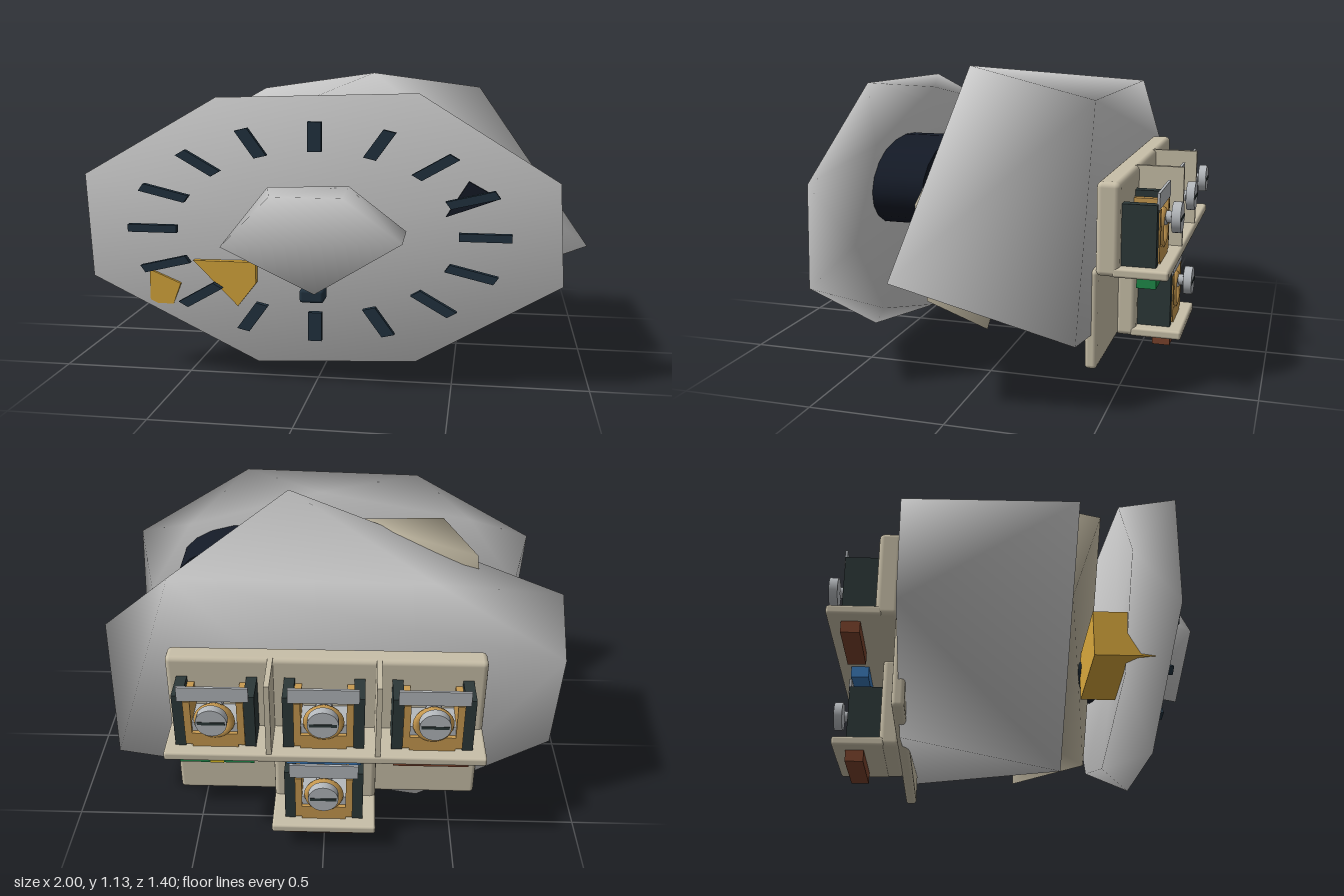
import * as THREE from 'three';
import { mergeVertices } from 'three/addons/utils/BufferGeometryUtils.js';
import { ConvexGeometry } from 'three/addons/geometries/ConvexGeometry.js';
import { RoundedBoxGeometry } from 'three/addons/geometries/RoundedBoxGeometry.js';

const mat = (color) => new THREE.MeshStandardMaterial({ color });
const M = {
  grey: mat(0xcccccc), beige: mat(0xc8bfa8), dark: mat(0x2c3838), black: mat(0x141a26),
  navy: mat(0x223340), gold: mat(0xd9a83c), brass: mat(0xc89a50), steel: mat(0xb4b8bc),
  green: mat(0x1f8a4a), yellow: mat(0xe0c020), blue: mat(0x3a78b8), brown: mat(0x7a432c)
};

function add(parent, name, geometry, material, x = 0, y = 0, z = 0) {
  const mesh = new THREE.Mesh(geometry, material);
  mesh.name = name;
  mesh.position.set(x, y, z);
  parent.add(mesh);
  return mesh;
}

// Box given by its extents on each axis
function box(parent, name, material, [x0, x1], [y0, y1], [z0, z1], radius = 0) {
  const size = [x1 - x0, y1 - y0, z1 - z0];
  const g = radius ? new RoundedBoxGeometry(...size, 2, radius) : new THREE.BoxGeometry(...size);
  return add(parent, name, g, material, (x0 + x1) / 2, (y0 + y1) / 2, (z0 + z1) / 2);
}

// Faceted shell with smooth normals, spanned by outlines lying at given depths
function shell(parent, name, material, layers) {
  const points = layers.flatMap(([z, outline]) => outline.map(([x, y]) => new THREE.Vector3(x, y, z)));
  let g = new ConvexGeometry(points);
  g.deleteAttribute('normal');
  g.deleteAttribute('uv');
  g = mergeVertices(g, 1e-4);
  g.computeVertexNormals();
  return add(parent, name, g, material);
}

// Disc between a front and a back rim (same count, counter-clockwise), each dished to a centre
function dishedDisc(parent, name, material, front, back, [zFront, zFrontMid, zBackMid, zBack], cy) {
  const n = front.length;
  const points = [0, cy, zFrontMid, 0, cy, zBackMid];
  for (const [x, y] of front) points.push(x, y, zFront);
  for (const [x, y] of back) points.push(x, y, zBack);
  const index = [];
  for (let i = 0; i < n; i++) {
    const a = 2 + i, b = 2 + ((i + 1) % n);
    index.push(0, a, b, 1, b + n, a + n, a, a + n, b, b, a + n, b + n);
  }
  const g = new THREE.BufferGeometry();
  g.setAttribute('position', new THREE.Float32BufferAttribute(points, 3));
  g.setIndex(index);
  g.computeVertexNormals();
  return add(parent, name, g, material);
}

// Flat outline extruded from z0 to z1
function slab(parent, name, material, outline, z0, z1) {
  const shape = new THREE.Shape(outline.map(([x, y]) => new THREE.Vector2(x, y)));
  add(parent, name, new THREE.ExtrudeGeometry(shape, { depth: z1 - z0, bevelEnabled: false }), material, 0, 0, z0);
}

// Cylinder lying along z
function rod(parent, name, material, r, z0, z1, x, y, sides = 24) {
  const g = new THREE.CylinderGeometry(r, r, z1 - z0, sides).rotateX(Math.PI / 2);
  return add(parent, name, g, material, x, y, (z0 + z1) / 2);
}

// One screw terminal, standing on a ledge whose top is at y = 0
function terminal(x, y, labelColor, striped) {
  const t = new THREE.Group();
  t.name = 'terminal';
  t.position.set(x, y, 0);
  for (const s of [-1, 1]) {
    const cheek = box(t, 'cheek', M.dark, [-0.02, 0.02], [0, 0.225], [-0.63, -0.5]);
    cheek.position.x = s * 0.13;
    const clip = box(t, 'clip', M.brass, [-0.013, 0.013], [0.01, 0.2], [-0.635, -0.5]);
    clip.position.x = s * 0.097;
  }
  box(t, 'clampBlock', M.steel, [-0.085, 0.085], [0, 0.1], [-0.62, -0.5]);
  box(t, 'facePlate', M.brass, [-0.085, 0.085], [0, 0.06], [-0.635, -0.62]);
  box(t, 'topTab', M.steel, [-0.13, 0.13], [0.205, 0.265], [-0.635, -0.625]);

  // Screw: threaded shank, washer, slotted head
  const sy = 0.155;
  rod(t, 'screwShank', M.steel, 0.022, -0.66, -0.53, 0, sy, 16);
  for (let i = 0; i < 5; i++) {
    const thread = add(t, 'screwThread', new THREE.TorusGeometry(0.025, 0.007, 6, 16), M.steel, 0, sy, -0.555 - i * 0.02);
    thread.rotation.x = 0.15;
  }
  add(t, 'washer', new THREE.TorusGeometry(0.06, 0.016, 8, 24), M.brass, 0, sy - 0.04, -0.625);
  rod(t, 'screwHead', M.steel, 0.057, -0.698, -0.665, 0, sy);
  const slot = box(t, 'screwSlot', M.dark, [-0.05, 0.05], [-0.006, 0.006], [-0.7, -0.696]);
  slot.position.y = sy;

  // Coloured wire marker under the ledge
  box(t, 'wireMarker', labelColor, [-0.14, 0.14], [-0.08, -0.035], [-0.63, -0.56]);
  if (striped) box(t, 'markerStripe', M.yellow, [-0.025, 0.025], [-0.081, -0.034], [-0.632, -0.558]);
  return t;
}

export function createModel() {
  const model = new THREE.Group();
  model.name = 'rotarySwitch';

  // Main housing: four corners in front, six behind
  shell(model, 'housing', M.grey, [
    [0.19, [[0.17, 1.14], [1, 0.48], [-0.18, 0.005], [-1, 0.67]]],
    [-0.41, [[0.57, 1.06], [0.83, 0.26], [-0.37, 0.06], [-0.88, 0.35], [-0.9, 0.73], [-0.4, 1.05]]]
  ]);

  // Inner carrier, breaking through the housing at two corners
  shell(model, 'carrier', M.beige, [
    [0.34, [[-0.48, 0.95], [0.3, 0.19]]],
    [0.2, [[-0.05, 1.01], [0.33, 0.92], [0.73, 0.69], [-0.66, 0.5], [0, 0.15]]],
    [0.04, [[-0.6, 0.93], [0.42, 0.14]]]
  ]);

  // Mechanism between the carrier and the dial
  const drum = rod(model, 'drum', M.black, 0.17, 0.2, 0.45, 0.33, 0.71, 20);
  drum.scale.x = 1.95;
  const collar = rod(model, 'drumCollar', M.black, 0.06, 0.23, 0.39, 0.3, 0.585, 16);
  collar.scale.x = 1.8;
  box(model, 'contactBlock', M.gold, [-0.64, -0.23], [0.28, 0.45], [0.27, 0.46]);
  const spindle = rod(model, 'spindle', M.navy, 0.04, 0.24, 0.46, -0.16, 0.4, 12);
  spindle.scale.x = 3.2;

  // Dial disc, wider in front than behind
  dishedDisc(model, 'dial', M.grey,
    [[0.87, 0.77], [0.37, 1.08], [-0.37, 1.06], [-0.88, 0.77], [-0.86, 0.38], [-0.22, 0.07], [0.37, 0.1], [0.89, 0.4]],
    [[0.62, 0.88], [0.05, 1.04], [-0.6, 0.92], [-0.82, 0.6], [-0.55, 0.25], [0.1, 0.11], [0.6, 0.25], [0.82, 0.55]],
    [0.54, 0.48, 0.45, 0.39], 0.575);

  // Corners of the mechanism showing through the dial
  slab(model, 'drumCorner', M.black, [[0.47, 0.64], [0.66, 0.71], [0.55, 0.77]], 0.44, 0.535);
  slab(model, 'contactCorner', M.gold, [[-0.3, 0.28], [-0.23, 0.37], [-0.23, 0.45], [-0.47, 0.45]], 0.44, 0.535);
  slab(model, 'contactCorner', M.gold, [[-0.64, 0.28], [-0.55, 0.28], [-0.52, 0.36], [-0.64, 0.41]], 0.44, 0.538);

  // Sixteen dial marks on an ellipse
  const marks = new THREE.Group();
  marks.name = 'dialMarks';
  marks.position.set(0, 0.575, 0.565);
  marks.scale.x = 1.75;
  const markGeometry = new THREE.BoxGeometry(0.107, 0.0285, 0.024);
  for (let i = 0; i < 16; i++) {
    const a = (i * Math.PI) / 8;
    const mark = add(marks, 'dialMark', markGeometry, M.navy, 0.35 * Math.cos(a), 0.35 * Math.sin(a), 0);
    mark.rotation.z = a;
  }
  model.add(marks);

  // Five-sided knob with its pointer
  shell(model, 'knob', M.grey, [
    [0.7, [[-0.14, 0.725], [0.12, 0.725], [0.33, 0.57], [0.02, 0.38], [-0.32, 0.54]]],
    [0.54, [[-0.18, 0.735], [0.12, 0.745], [0.33, 0.585], [0, 0.4], [-0.31, 0.57]]],
    [0.46, [[0, 0.58]]]
  ]);
  box(model, 'pointer', M.navy, [-0.05, 0.04], [0.325, 0.375], [0.54, 0.62], 0.012);

  // Terminal block on the back: plates, ledges, dividers
  const block = new THREE.Group();
  block.name = 'terminalBlock';
  box(block, 'upperPlate', M.beige, [-0.6, 0.59], [0.44, 0.78], [-0.505, -0.42], 0.02);
  box(block, 'backingPlate', M.beige, [-0.6, 0.59], [0.09, 0.46], [-0.43, -0.385], 0.015);
  box(block, 'lowerPlate', M.beige, [-0.2, 0.2], [0.09, 0.45], [-0.5, -0.42], 0.02);
  box(block, 'upperLedge', M.beige, [-0.6, 0.59], [0.44, 0.475], [-0.68, -0.48], 0.01);
  box(block, 'lowerLedge', M.beige, [-0.2, 0.2], [0.09, 0.125], [-0.68, -0.48], 0.01);
  for (const x of [-0.2, 0.2]) {
    box(block, 'divider', M.beige, [x - 0.01, x + 0.01], [0.46, 0.78], [-0.675, -0.49]);
  }
  block.add(terminal(0.4, 0.475, M.green, true));
  block.add(terminal(0, 0.475, M.blue));
  block.add(terminal(-0.4, 0.475, M.brown));
  block.add(terminal(0, 0.125, M.brown));
  model.add(block);

  return model;
}
